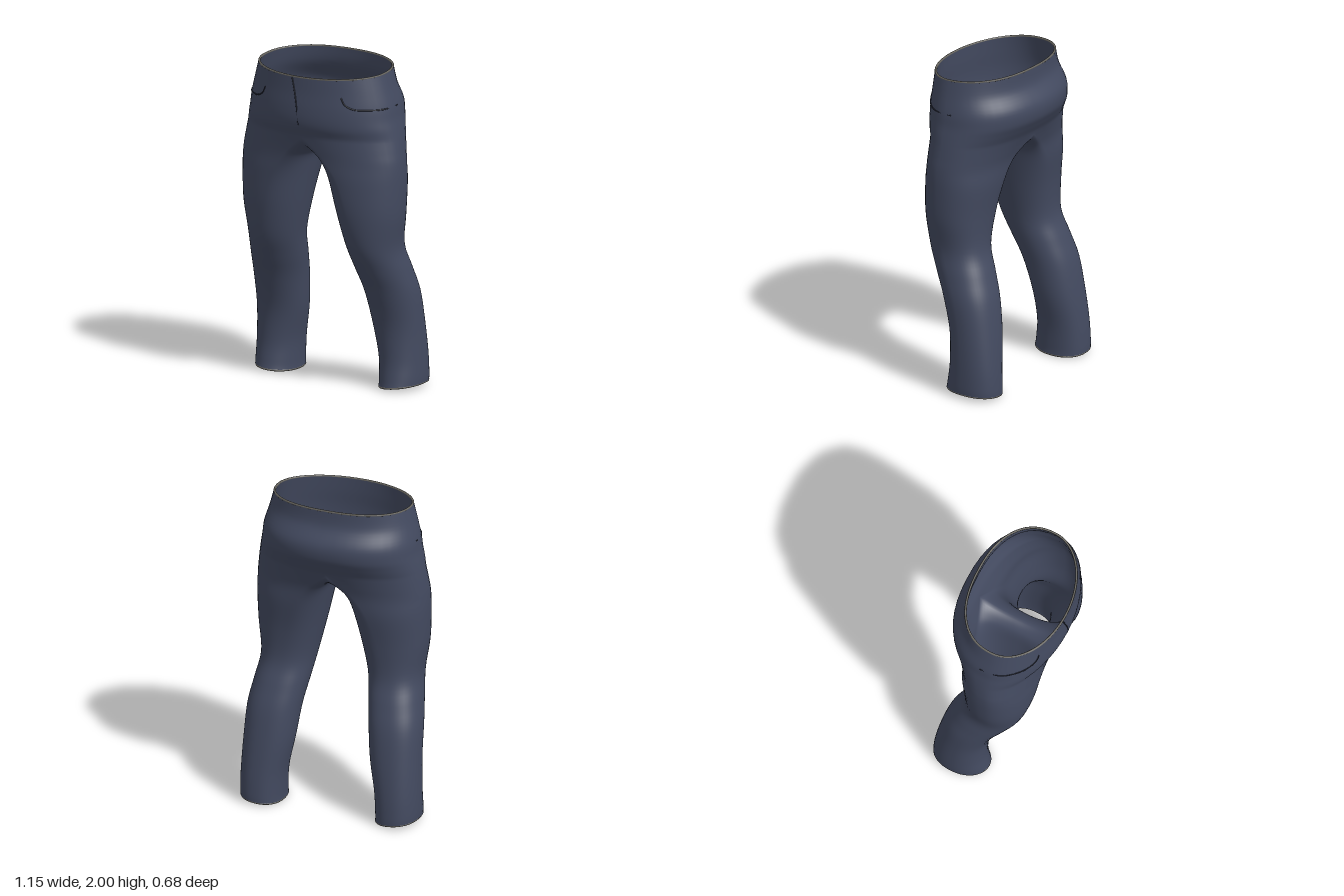
import * as THREE from 'three';
import { mergeVertices } from 'three/addons/utils/BufferGeometryUtils.js';

// Cross-sections of one half, waist to hem:
// height, outer x, inner x, seam x, front z, back z, z of widest point, crotch dip
const SECTIONS = [
  [1.975, 0.433, 0, 0, 0.33, -0.27, 0.04, 0],
  [1.88, 0.458, 0, 0, 0.333, -0.28, 0.04, 0],
  [1.78, 0.485, 0, 0, 0.34, -0.335, 0.03, 0],
  [1.70, 0.497, 0, 0, 0.34, -0.335, 0.03, 0],
  [1.64, 0.51, -0.04, -0.09, 0.33, -0.305, 0.03, 0.2],
  [1.58, 0.522, 0, 0, 0.305, -0.27, 0.03, 0.12],
  [1.50, 0.535, 0.04, 0.09, 0.285, -0.235, 0.04, 0.06],
  [1.42, 0.545, 0.066, 0.16, 0.272, -0.21, 0.05, 0.02],
  [1.30, 0.548, 0.09, 0.24, 0.265, -0.195, 0.05, 0],
  [1.10, 0.54, 0.135, 0.3, 0.25, -0.165, 0.05, 0],
  [0.90, 0.515, 0.18, 0.345, 0.21, -0.16, 0.03, 0],
  [0.75, 0.535, 0.205, 0.37, 0.145, -0.21, -0.03, 0],
  [0.60, 0.557, 0.23, 0.39, 0.075, -0.26, -0.09, 0],
  [0.40, 0.565, 0.255, 0.41, 0.015, -0.295, -0.13, 0],
  [0.20, 0.572, 0.293, 0.432, 0.005, -0.318, -0.15, 0],
  [0.06, 0.574, 0.303, 0.438, 0.02, -0.326, -0.15, 0],
  [0.006, 0.572, 0.303, 0.438, 0.03, -0.326, -0.15, 0],
];
const CROTCH = 5;           // section where the two legs part
const LAST = SECTIONS.length - 1;
const STEPS = 5;            // rows between sections
const AROUND = 48;          // points around a leg
const THICK = 0.012;

// Smooth blend of the sections at a fractional index
function sectionAt(v) {
  const i = Math.min(Math.floor(v), LAST - 1), f = v - i;
  const get = k => SECTIONS[THREE.MathUtils.clamp(k, 0, LAST)];
  const [a, b, c, d] = [get(i - 1), get(i), get(i + 1), get(i + 2)];
  return b.map((p, k) => p + 0.5 * f * (c[k] - a[k]
    + f * (2 * a[k] - 5 * p + 4 * c[k] - d[k] + f * (3 * (p - c[k]) + d[k] - a[k]))));
}

// Point on the cloth: angle 0 is front, PI/2 outer side, PI back, beyond is the inner leg
function cloth(v, angle) {
  const [h, outer, inner, seamX, front, back, mid, dip] = sectionAt(v);
  const seam = v <= CROTCH ? 0 : seamX;
  const power = Math.cos(angle) < 0 ? 0.87 : 1;
  const side = Math.abs(Math.sin(angle)) ** power;
  const depth = Math.abs(Math.cos(angle)) ** power;
  const inside = angle > Math.PI + 1e-6;
  const x = inside ? seam - (seam - inner) * side : seam + (outer - seam) * side;
  const z = mid + (power < 1 ? back - mid : front - mid) * depth;
  let y = h - (inside ? dip * side : 0);
  y -= 0.075 * z * THREE.MathUtils.smoothstep(h, 1.6, 1.975);
  y += 0.026 * (x - inner) / (outer - inner) * (1 - THREE.MathUtils.smoothstep(h, 0, 0.2));
  return new THREE.Vector3(x, y, z);
}

// Both halves joined along the centre: open arcs over the hips, closed rings on the legs
function clothGeometry() {
  const positions = [];
  const rows = LAST * STEPS;
  const point = (i, j) => cloth(i / STEPS, (j % AROUND) / AROUND * Math.PI * 2);
  for (let i = 0; i < rows; i++) {
    const count = i < CROTCH * STEPS ? AROUND / 2 : AROUND;
    for (let j = 0; j < count; j++) {
      const a = point(i, j), b = point(i + 1, j), c = point(i + 1, j + 1), d = point(i, j + 1);
      for (const p of [a, b, c, a, c, d]) positions.push(p.x, p.y, p.z);
      for (const p of [a, c, b, a, d, c]) positions.push(-p.x, p.y, p.z);
    }
  }
  const geometry = new THREE.BufferGeometry();
  geometry.setAttribute('position', new THREE.Float32BufferAttribute(positions, 3));
  const merged = mergeVertices(geometry, 1e-5);
  merged.computeVertexNormals();
  return merged;
}

// Inner face of the cloth: moved inward and turned over
function liningGeometry(shell) {
  const geometry = shell.clone();
  const { position, normal } = geometry.attributes;
  for (let i = 0; i < position.count; i++) {
    position.setXYZ(i,
      position.getX(i) - normal.getX(i) * THICK,
      position.getY(i) - normal.getY(i) * THICK,
      position.getZ(i) - normal.getZ(i) * THICK);
  }
  const index = geometry.index.array;
  for (let i = 0; i < index.length; i += 3) [index[i + 1], index[i + 2]] = [index[i + 2], index[i + 1]];
  geometry.computeVertexNormals();
  return geometry;
}

// Rounded raw edge that closes the gap between cloth and lining
function edgeGeometry(points) {
  const centre = points.reduce((sum, p) => sum.add(p), new THREE.Vector3()).divideScalar(points.length);
  const path = points.map(p => {
    const inward = centre.clone().sub(p).setY(0).setLength(THICK / 2);
    return p.clone().add(inward);
  });
  return new THREE.TubeGeometry(new THREE.CatmullRomCurve3(path, true), 96, THICK / 2 + 0.001, 8, true);
}

// Thin line lying on the cloth through [height, angle] pairs
function seamGeometry(pairs, radius, mirror) {
  const path = pairs.map(([h, angle]) => {
    const i = Math.max(0, SECTIONS.findIndex(s => s[0] <= h) - 1);
    const v = i + (SECTIONS[i][0] - h) / (SECTIONS[i][0] - SECTIONS[i + 1][0]);
    const p = cloth(v, angle);
    p.x *= mirror;
    return p;
  });
  return new THREE.TubeGeometry(new THREE.CatmullRomCurve3(path), 40, radius, 6, false);
}

export function createModel() {
  const denim = new THREE.MeshStandardMaterial({ color: 0x434a60 });
  denim.name = 'navy denim';
  const rawEdge = new THREE.MeshStandardMaterial({ color: 0x66645e });
  rawEdge.name = 'grey edge';
  const seam = new THREE.MeshStandardMaterial({ color: 0x282c3a });
  seam.name = 'dark seam';

  const trousers = new THREE.Group();
  trousers.name = 'trousers';
  const add = (name, geometry, material) => {
    const mesh = new THREE.Mesh(geometry, material);
    mesh.name = name;
    trousers.add(mesh);
  };

  // Cloth and lining
  const shell = clothGeometry();
  add('cloth', shell, denim);
  add('lining', liningGeometry(shell), denim);

  // Waist edge
  const angles = Array.from({ length: AROUND }, (_, j) => j / AROUND * Math.PI * 2);
  add('waistEdge', edgeGeometry(angles.map(a => {
    const p = cloth(0, a > Math.PI ? Math.PI * 2 - a : a);
    if (a > Math.PI) p.x *= -1;
    return p;
  })), rawEdge);

  // Hems and pocket openings
  const pocket = [[1.865, 0.62], [1.82, 0.66], [1.79, 0.78], [1.78, 1.0], [1.775, 1.3], [1.775, 1.65]];
  for (const [side, mirror] of [['left', 1], ['right', -1]]) {
    add(side + 'Hem', edgeGeometry(angles.map(a => {
      const p = cloth(LAST, a);
      p.x *= mirror;
      return p;
    })), rawEdge);
    add(side + 'PocketOpening', seamGeometry(pocket, 0.004, mirror), seam);
  }

  // Fly opening
  add('fly', seamGeometry([[1.97, 0.11], [1.9, 0.07], [1.8, 0.025], [1.66, 0]], 0.004, -1), seam);

  return trousers;
}
